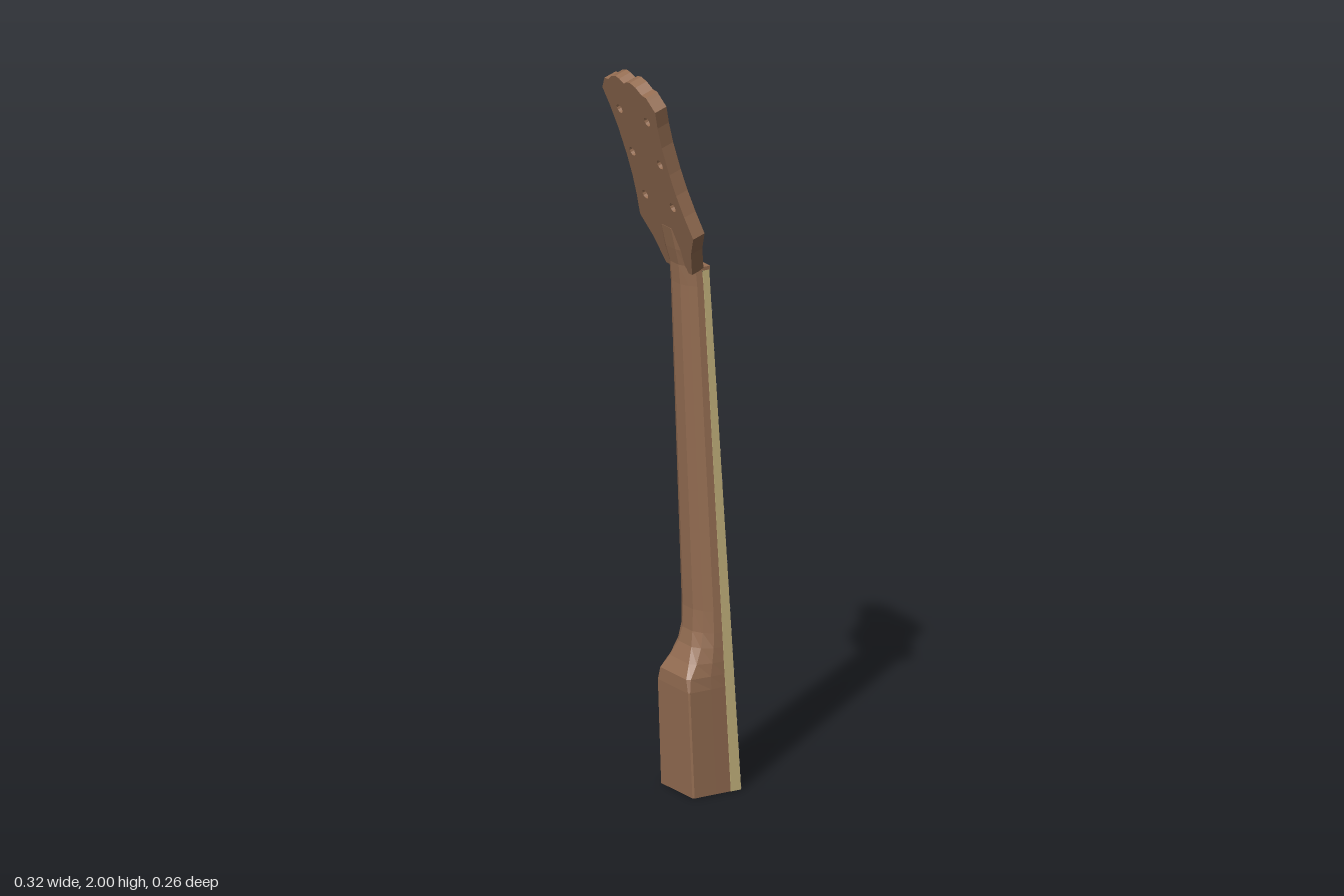
import * as THREE from 'three';

const mat = (name, color) => {
  const m = new THREE.MeshStandardMaterial({ color });
  m.name = name;
  return m;
};

// Skin a list of closed rings (bottom to top) with flat facets and end caps
function loft(rings) {
  const pos = [];
  const tri = (...p) => p.forEach((q) => pos.push(...q));
  const n = rings[0].length;
  for (let i = 0; i < rings.length - 1; i++) {
    for (let j = 0; j < n; j++) {
      const k = (j + 1) % n;
      const a = rings[i][j], b = rings[i][k], c = rings[i + 1][k], d = rings[i + 1][j];
      tri(a, d, c);
      tri(a, c, b);
    }
  }
  const lo = rings[0], hi = rings[rings.length - 1];
  for (let j = 1; j < n - 1; j++) {
    tri(lo[0], lo[j], lo[j + 1]);
    tri(hi[0], hi[j + 1], hi[j]);
  }
  const g = new THREE.BufferGeometry();
  g.setAttribute('position', new THREE.Float32BufferAttribute(pos, 3));
  g.computeVertexNormals();
  return g;
}

// Plate drawn in the z/y plane, front face at x = front
function plate(shape, depth, front) {
  const g = new THREE.ExtrudeGeometry(shape, { depth, bevelEnabled: false, curveSegments: 6 });
  g.rotateY(Math.PI / 2);
  g.translate(front - depth, 0, 0);
  return g;
}

const mirrored = (half) => [...half, ...half.slice().reverse().map(([u, v]) => [-u, v])];
const toShape = (pts) => new THREE.Shape(pts.map(([u, v]) => new THREE.Vector2(u, v)));

const NUT = 1.443;
const boardFront = (y) => 0.155 - 0.06 * y;
const boardBack = (y) => 0.124 - 0.052 * y;
const halfWidth = (y) => 0.082 - 0.0135 * y;
const fretY = (n) => NUT - 2 * (1 - Math.pow(2, -n / 12));

export function createModel() {
  const model = new THREE.Group();
  const wood = mat('brown wood', 0x946d52);
  const ebony = mat('black fingerboard', 0x212123);
  const cream = mat('cream binding', 0xc8b780);
  const steel = mat('grey fret metal', 0x6e6e70);
  const pearl = mat('pale grey inlay', 0x97979d);

  const add = (name, geo, material, parent = model) => {
    const m = new THREE.Mesh(geo, material);
    m.name = name;
    parent.add(m);
    return m;
  };

  // Neck: [y, front x, back x, half width, roundness of the back]
  const sections = [
    [0, 0.124, 0.008, 0.08, 0],
    [0.29, 0.109, -0.004, 0.077, 0],
    [0.325, 0.107, -0.003, 0.0765, 0.2],
    [0.36, 0.105, 0.016, 0.076, 0.55],
    [0.40, 0.103, 0.033, 0.0755, 0.85],
    [0.44, 0.101, 0.041, 0.075, 1],
    [0.50, 0.098, 0.043, 0.074, 1],
    [1.40, 0.051, 0.006, 0.062, 1],
    [1.455, 0.046, 0.001, 0.061, 1],
    [1.50, 0.026, -0.011, 0.06, 0.9],
    [1.56, 0.004, -0.025, 0.05, 0.8],
  ];
  add('neck', loft(sections.map(([y, f, b, w, r]) => {
    const d = f - b;
    const half = [
      [f, w],
      [f - 0.38 * d, w * (1 - 0.06 * r)],
      [f - (0.96 - 0.2 * r) * d, w * (0.99 - 0.3 * r)],
      [b, w * (0.94 - 0.62 * r)],
    ];
    return [...half, ...half.slice().reverse().map(([x, z]) => [x, -z])].map(([x, z]) => [x, y, z]);
  })), wood);

  // Fingerboard and side binding, tapering in width and thickness
  const slab = (side0, side1) => loft([0, NUT].map((y) => {
    const w = halfWidth(y), f = boardFront(y), b = boardBack(y);
    const hi = side1(w), lo = side0(w);
    return [[f, y, hi], [b, y, hi], [b, y, lo], [f, y, lo]];
  }));
  const edge = 0.003;
  add('fingerboard', slab((w) => edge - w, (w) => w - edge), ebony);
  add('leftBinding', slab((w) => w - edge, (w) => w), cream);
  add('rightBinding', slab((w) => -w, (w) => edge - w), cream);

  // Nut
  const nut = add('nut', new THREE.BoxGeometry(0.028, 0.01, 0.126), wood);
  nut.position.set(0.057, NUT + 0.004, 0);

  // Frets and inlays lie on the sloping board
  const boardTop = new THREE.Group();
  boardTop.name = 'boardDetails';
  boardTop.position.x = 0.155;
  boardTop.rotation.z = Math.atan(0.06);
  model.add(boardTop);
  for (let n = 1; n <= 22; n++) {
    const y = fretY(n);
    const fret = add('fret' + n, new THREE.BoxGeometry(0.006, 0.005, 2 * halfWidth(y) - 0.004), steel, boardTop);
    fret.position.y = y;
  }
  for (const n of [3, 5, 7, 9, 12, 15, 17, 19, 21]) {
    const y = (fretY(n) + fretY(n - 1)) / 2;
    const gap = fretY(n - 1) - fretY(n);
    const h = Math.min(0.021, gap * 0.3), w = halfWidth(y) * 0.74;
    // block with stepped, notched ends
    const right = [[w * 0.78, -h], [w * 0.78, -h * 0.75], [w, -h * 0.75], [w, -h * 0.2], [w * 0.88, 0],
      [w, h * 0.2], [w, h * 0.75], [w * 0.78, h * 0.75], [w * 0.78, h]];
    const inlay = add('inlay' + n, plate(toShape(mirrored(right)), 0.004, 0.0015), pearl, boardTop);
    inlay.position.y = y;
  }

  // Headstock: scalloped outline with six through holes, leaning back
  const k = 1 / 0.953;
  const outline = [
    [0.062, 1.447], [0.09, 1.515], [0.128, 1.57], [0.114, 1.63], [0.105, 1.69], [0.102, 1.75],
    [0.105, 1.83], [0.114, 1.89], [0.127, 1.94], [0.106, 1.967], [0.1, 1.975], [0.08, 1.977],
    [0.058, 1.993], [0.035, 2.0], [0.018, 1.997], [0, 1.988],
  ].map(([z, y]) => [z, (y - 1.45) * k]);
  const head = toShape(mirrored(outline).filter((p, i) => i !== outline.length));
  for (const y of [1.645, 1.77, 1.895]) {
    for (const s of [-1, 1]) {
      const hole = new THREE.Path();
      hole.absarc(s * 0.066, (y - 1.45) * k, 0.013, 0, Math.PI * 2, true);
      head.holes.push(hole);
    }
  }
  const headstock = add('headstock', plate(head, 0.037, 0), wood);
  headstock.position.set(0.05, 1.45, 0);
  headstock.rotation.z = 0.308;

  return model;
}
